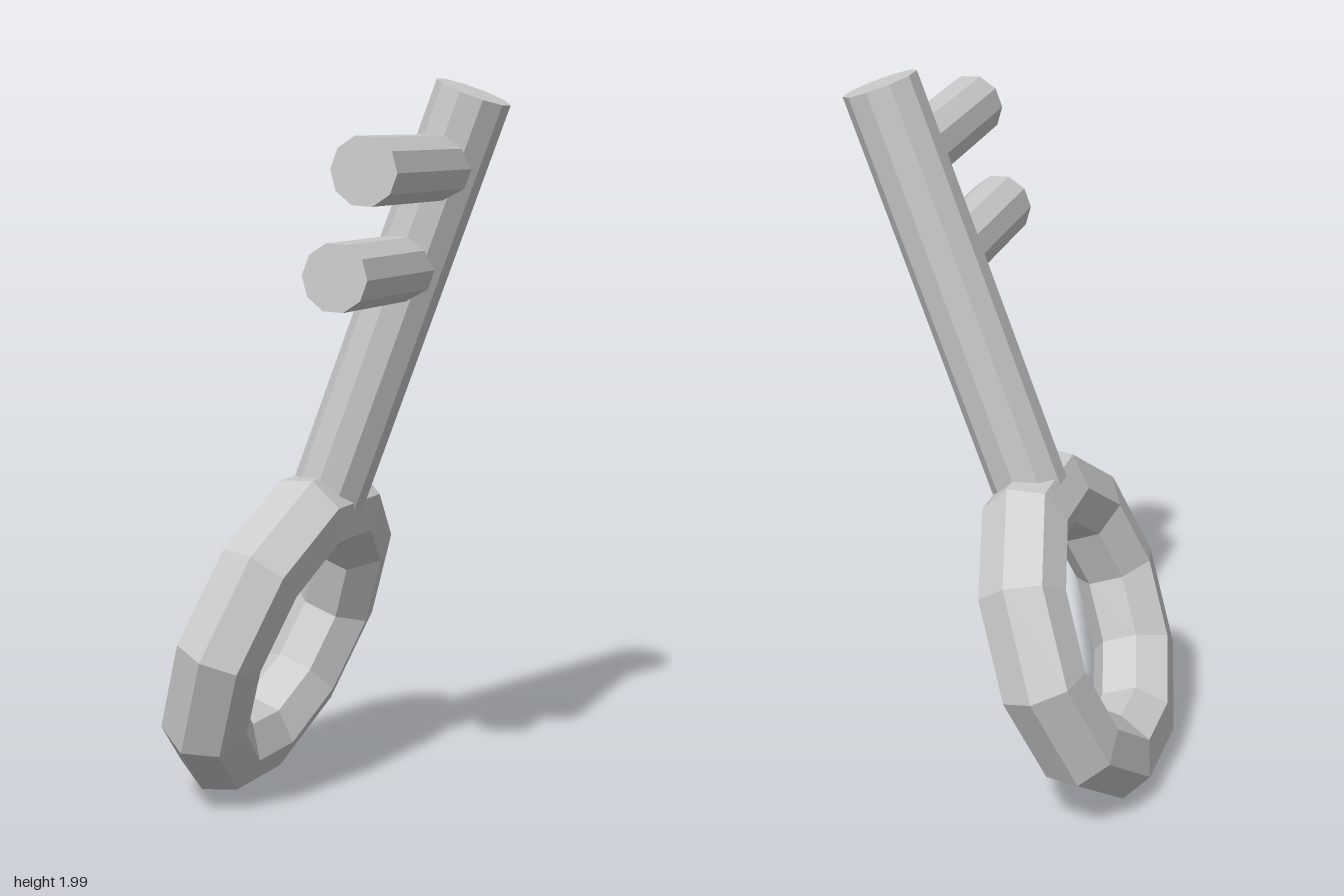
import * as THREE from 'three';

const material = new THREE.MeshStandardMaterial({ color: 0xcccccc, flatShading: true });

function addPart(parent, name, geometry) {
  const mesh = new THREE.Mesh(geometry, material);
  mesh.name = name;
  parent.add(mesh);
  return mesh;
}

export function createModel() {
  const model = new THREE.Group();
  model.name = 'key';

  // The key is built upright around the centre of its bow, then leaned and turned
  const body = new THREE.Group();
  body.name = 'keyBody';
  body.position.set(-0.2, 0.465, -0.03);
  body.rotation.set(0, THREE.MathUtils.degToRad(-7.2), THREE.MathUtils.degToRad(-20), 'ZYX');
  model.add(body);

  // Ring-shaped bow
  addPart(body, 'bow', new THREE.TorusGeometry(0.385, 0.12, 7, 10).rotateY(Math.PI / 2));

  // Shaft, rising from inside the bow
  const bottom = 0.385, top = 1.597;
  addPart(body, 'shaft', new THREE.CylinderGeometry(0.104, 0.104, top - bottom, 10))
    .position.y = (top + bottom) / 2;

  // Two teeth pointing forward
  for (const [name, y, length] of [['lowerTooth', 1.098, 0.51], ['upperTooth', 1.386, 0.565]]) {
    const tooth = new THREE.CylinderGeometry(0.09, 0.09, length, 10).rotateX(Math.PI / 2);
    addPart(body, name, tooth).position.set(0, y, length / 2);
  }

  return model;
}
